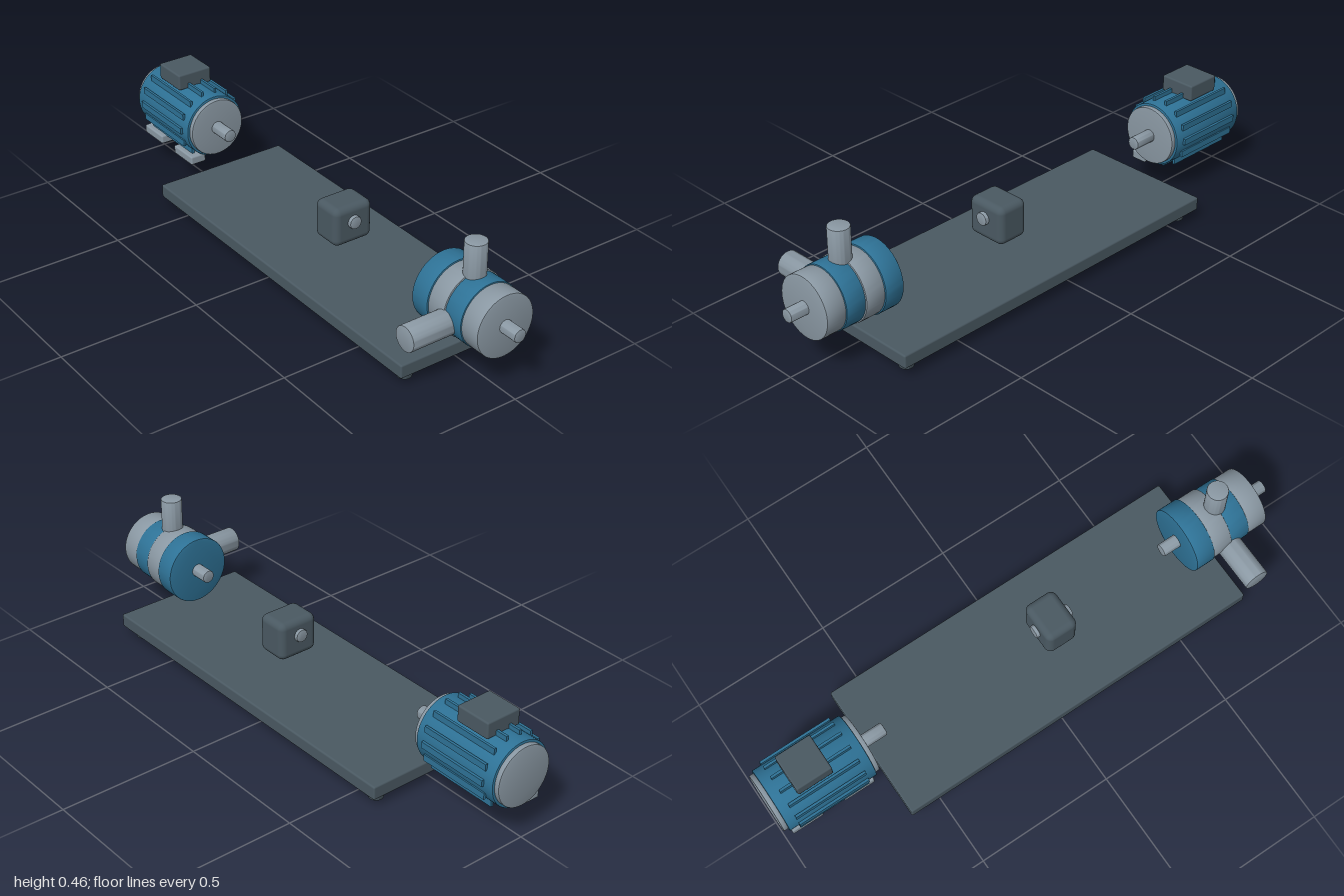
import * as THREE from 'three';
import { toCreasedNormals } from 'three/addons/utils/BufferGeometryUtils.js';
import { RoundedBoxGeometry } from 'three/addons/geometries/RoundedBoxGeometry.js';

const AXIS_Y = 0.227, AXIS_Z = -0.005;

function paint(name, color) {
  const m = new THREE.MeshStandardMaterial({ color });
  m.name = name;
  return m;
}

// Cylinder along +z from 0 to length, with softened rims
function softCylinder(radius, length, bevel = 0.003) {
  const circle = new THREE.Shape().absarc(0, 0, radius, 0, Math.PI * 2);
  const geo = new THREE.ExtrudeGeometry(circle, {
    depth: length - 2 * bevel, curveSegments: 28, bevelEnabled: true,
    bevelThickness: bevel, bevelSize: bevel, bevelOffset: -bevel, bevelSegments: 2,
  });
  geo.translate(0, 0, bevel);
  return toCreasedNormals(geo, 0.6);
}

export function createModel() {
  const blue = paint('blue paint', 0x2e7296);
  const dark = paint('dark grey', 0x4a5962);
  const steel = paint('light steel', 0x8a98a3);

  const model = new THREE.Group();
  model.name = 'pumpSet';
  const section = (name) => {
    const g = new THREE.Group();
    g.name = name;
    model.add(g);
    return g;
  };
  const add = (parent, name, geo, mat) => {
    const mesh = new THREE.Mesh(geo, mat);
    mesh.name = name;
    parent.add(mesh);
    return mesh;
  };
  const box = (parent, name, mat, x0, x1, y0, y1, z0, z1, r) =>
    add(parent, name, new RoundedBoxGeometry(x1 - x0, y1 - y0, z1 - z0, 3, r), mat)
      .position.set((x0 + x1) / 2, (y0 + y1) / 2, (z0 + z1) / 2);
  // Round part on the shared shaft axis
  const disc = (parent, name, mat, x0, x1, r, bevel) =>
    add(parent, name, softCylinder(r, x1 - x0, bevel).rotateY(Math.PI / 2), mat)
      .position.set(x0, AXIS_Y, AXIS_Z);
  // Upright round part
  const post = (parent, name, mat, x, z, y0, y1, r) =>
    add(parent, name, softCylinder(r, y1 - y0).rotateX(-Math.PI / 2), mat)
      .position.set(x, y0, z);

  // Base plate on four round feet
  const base = section('base');
  box(base, 'basePlate', dark, -0.614, 0.757, 0.036, 0.085, -0.257, 0.248, 0.006);
  for (const x of [-0.563, 0.705])
    for (const z of [-0.203, 0.193]) post(base, 'baseFoot', dark, x, z, 0, 0.04, 0.025);

  // Motor body, end covers and shaft
  const motor = section('motor');
  disc(motor, 'motorBody', blue, -0.983, -0.65, 0.115);
  disc(motor, 'rearCover', steel, -1.0, -0.98, 0.106);
  disc(motor, 'frontCover', steel, -0.653, -0.633, 0.106);
  disc(motor, 'motorShaft', steel, -0.64, -0.548, 0.023);

  // Cooling fins, all upright, spaced round the body
  const finGeo = new THREE.BoxGeometry(0.265, 0.023, 0.009);
  for (let i = 0; i < 14; i++) {
    const a = (i / 14) * Math.PI * 2;
    add(motor, 'coolingFin', finGeo, blue).position.set(
      -0.815, AXIS_Y + 0.12 * Math.sin(a), AXIS_Z + 0.12 * Math.cos(a));
  }

  // Terminal box and mounting feet
  box(motor, 'terminalBox', dark, -0.904, -0.772, 0.335, 0.394, -0.072, 0.062, 0.006);
  for (const x of [-0.975, -0.775])
    box(motor, 'motorFoot', steel, x, x + 0.118, 0.092, 0.124, 0.033, 0.094, 0.006);

  // Coupling with its shaft stub
  const coupling = section('coupling');
  box(coupling, 'couplingBlock', dark, 0.059, 0.179, 0.144, 0.285, -0.084, 0.068, 0.024);
  disc(coupling, 'couplingShaft', steel, 0.046, 0.193, 0.023);

  // Pump casing rings, stepping down toward the outer end
  const pump = section('pump');
  const edges = [0.637, 0.71, 0.784, 0.859, 0.933];
  [0.121, 0.117, 0.113, 0.11].forEach((r, i) =>
    disc(pump, 'casingRing', i % 2 ? steel : blue, edges[i], edges[i + 1], r));
  disc(pump, 'pumpShaft', steel, 0.572, 1.0, 0.023);

  // Outlet on top and inlet at the front
  post(pump, 'outletPort', steel, 0.784, AXIS_Z, AXIS_Y, 0.455, 0.037);
  add(pump, 'inletPort', softCylinder(0.044, 0.26), steel).position.set(0.784, 0.204, 0);

  return model;
}
